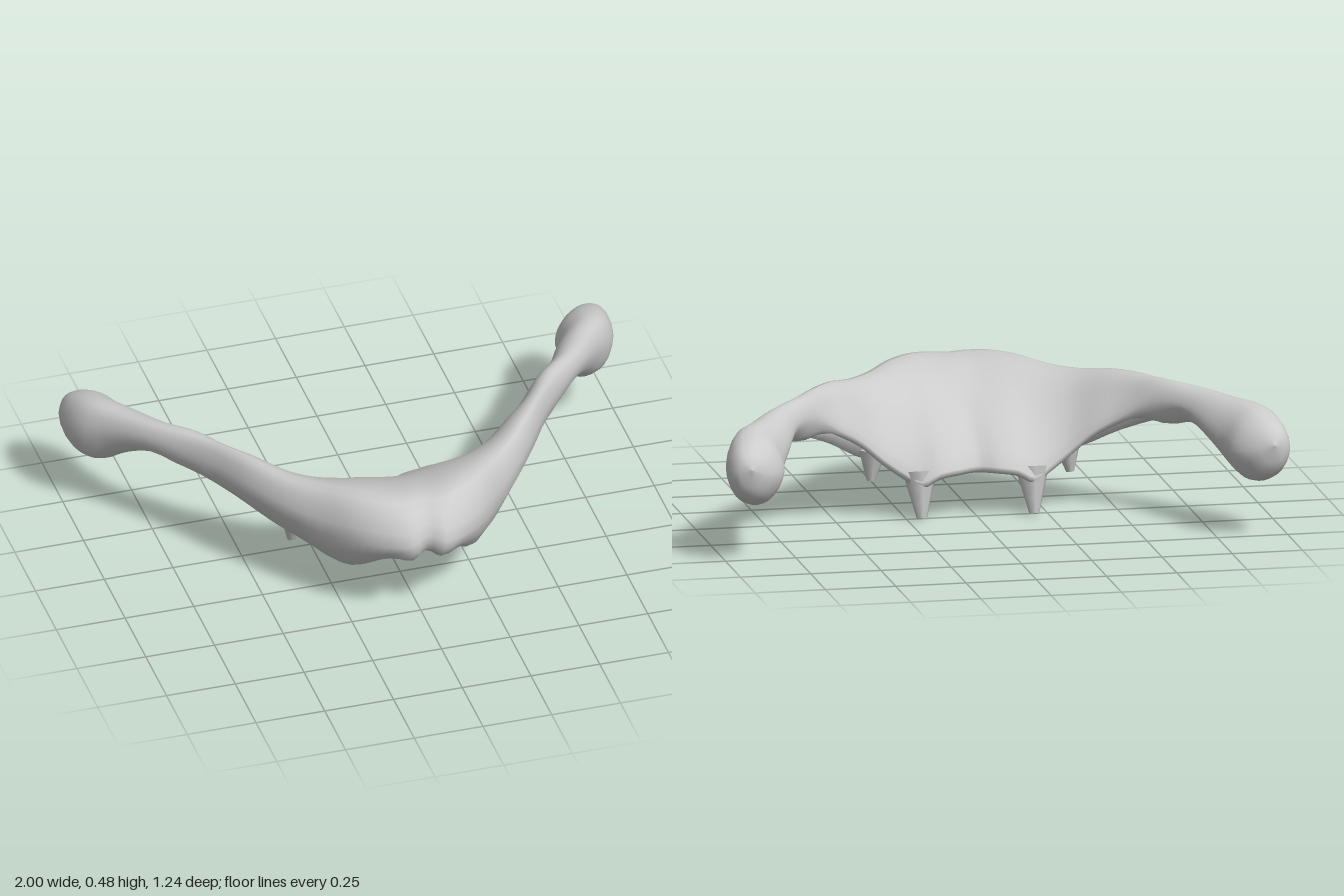
import * as THREE from 'three';

const V = (x, y, z) => new THREE.Vector3(x, y, z);
const mix = (a, b, t, y) => V(a.x + (b.x - a.x) * t, y, a.z + (b.z - a.z) * t);

// Body, a sloping shell from a high front crest down to a low back rim, middle outwards:
// outer x,z,y | crest y | front rim x,z,y | back rim x,z,y
const bodyRows = [
  [0, .59, .37, .47, 0, .56, .29, 0, 0, .15],
  [.06, .615, .35, .47, .05, .575, .265, .07, -.035, .15],
  [.14, .58, .34, .475, .12, .51, .25, .14, -.045, .14],
  [.235, .50, .33, .47, .18, .44, .19, .20, -.038, .11],
  [.33, .38, .31, .455, .23, .33, .13, .26, -.01, .14],
  [.42, .27, .32, .455, .31, .22, .16, .33, 0, .19],
  [.52, .14, .35, .475, .40, .13, .20, .41, -.02, .26],
  [.60, .02, .37, .48, .52, .03, .275, .49, -.055, .31],
];

// Arms with knobbed ends: outer x,z | inner x,z | top y, bottom y
const armRows = [
  [.70, -.10, .595, -.13, .48, .325],
  [.80, -.21, .68, -.22, .47, .345],
  [.90, -.33, .735, -.34, .46, .28],
  [.975, -.42, .78, -.44, .455, .205],
  [1, -.52, .80, -.53, .43, .20],
  [.985, -.59, .86, -.595, .39, .25],
  [.93, -.62, .93, -.62, .345, .345],
];

// Each ring has nine matching points: back rim, top, outer side, underside
function bodyRing([xo, zo, yo, yt, xb, zb, yb, xr, zr, yr]) {
  const outer = V(xo, yo, zo), front = V(xb, yb, zb), rim = V(xr, yr, zr);
  const height = h => yr + (yt - yr) * h;
  return [
    V(xr, yr + .025, zr),
    mix(rim, outer, .3, height(.62)), mix(rim, outer, .58, height(.93)), mix(rim, outer, .86, yt),
    outer, front,
    mix(rim, front, .66, height(.93) - .07), mix(rim, front, .3, height(.55) - .06),
    V(xr, yr, zr + .015),
  ];
}

function armRing([xo, zo, xi, zi, yt, yb]) {
  const outer = V(xo, 0, zo), inner = V(xi, 0, zi);
  const at = (t, h) => mix(inner, outer, t, yb + (yt - yb) * h);
  return [at(0, .52), at(.17, .84), at(.48, 1), at(.83, .93), at(1, .55),
    at(.84, .14), at(.55, 0), at(.28, .05), at(.06, .28)];
}

// Smooth skin through all rings, mirrored across the middle
function boneGeometry() {
  const half = [...bodyRows.map(bodyRing), ...armRows.map(armRing)];
  const mirrored = half.slice(1).reverse().map(r => r.map(p => V(-p.x, p.y, p.z)));
  const rings = [...mirrored, ...half];
  const along = 84, around = 27;
  const rails = rings[0].map((_, j) =>
    new THREE.CatmullRomCurve3(rings.map(r => r[j]), false, 'centripetal'));
  const pos = [], idx = [];
  for (let i = 0; i <= along; i++) {
    const ring = new THREE.CatmullRomCurve3(rails.map(c => c.getPoint(i / along)), true, 'centripetal');
    for (let j = 0; j < around; j++) {
      const p = ring.getPoint(j / around);
      pos.push(p.x, p.y, p.z);
      if (i === along) continue;
      const a = i * around + j, b = i * around + (j + 1) % around;
      idx.push(a, b, a + around, b, b + around, a + around);
    }
  }
  const g = new THREE.BufferGeometry();
  g.setAttribute('position', new THREE.Float32BufferAttribute(pos, 3));
  g.setIndex(idx);
  g.computeVertexNormals();
  return g;
}

export function createModel() {
  const group = new THREE.Group();
  const mat = new THREE.MeshStandardMaterial({ color: 0xcccccc, side: THREE.DoubleSide });
  const add = (geo, name) => {
    const m = new THREE.Mesh(geo, mat);
    m.name = name;
    group.add(m);
    return m;
  };
  add(boneGeometry(), 'boneBodyAndArms');

  // Blunt tapered prong from a root point to its tip
  const prong = (name, root, tip, r, rTip) => {
    const dir = tip.clone().sub(root);
    const m = add(new THREE.CylinderGeometry(rTip, r, dir.length(), 8, 3), name);
    m.position.copy(root).addScaledVector(dir, .5);
    m.quaternion.setFromUnitVectors(V(0, 1, 0), dir.normalize());
  };
  for (const s of [-1, 1]) {
    const side = s > 0 ? 'left' : 'right';
    prong(side + 'BackSpike', V(s * .2, .16, .022), V(s * .2, .002, -.02), .06, .018);
    prong(side + 'SideTooth', V(s * .345, .22, .12), V(s * .355, .115, .11), .05, .014);
  }
  return group;
}
